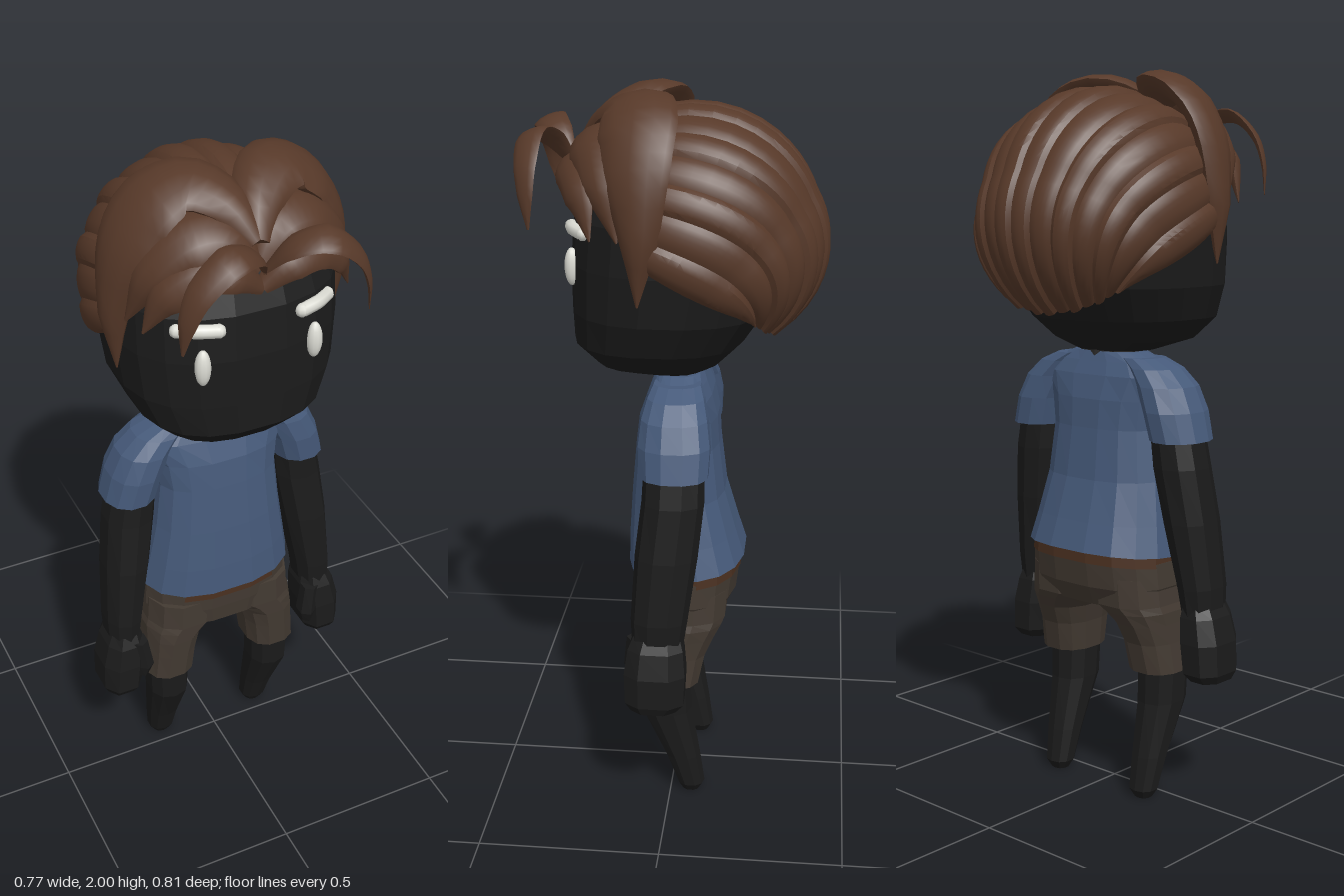
import * as THREE from 'three';
import { toCreasedNormals } from 'three/addons/utils/BufferGeometryUtils.js';

const V = (x, y, z) => new THREE.Vector3(x, y, z);
const flat = (color) => new THREE.MeshStandardMaterial({ color, flatShading: true });
const skin = flat(0x1b1b1b), neckSkin = flat(0x2b2a29), shirtMat = flat(0x465a7a);
const shortsMat = flat(0x433a32), beltMat = flat(0x4a3020);
const hairMat = new THREE.MeshStandardMaterial({ color: 0x573929, side: THREE.DoubleSide });
const eyeMat = new THREE.MeshStandardMaterial({ color: 0xdcdcd4 });

// Skin a list of rings (equal point counts) and close both ends
function skinRings(rings) {
  const n = rings[0].length, pos = [], idx = [];
  rings.forEach((r) => r.forEach((p) => pos.push(p.x, p.y, p.z)));
  for (let i = 0; i < rings.length - 1; i++) {
    for (let j = 0; j < n; j++) {
      const k = (j + 1) % n, a = i * n + j, d = i * n + k;
      idx.push(a, a + n, d + n, a, d + n, d);
    }
  }
  [0, rings.length - 1].forEach((r, end) => {
    const c = rings[r].reduce((s, p) => s.add(p), V(0, 0, 0)).divideScalar(n);
    const ci = pos.length / 3;
    pos.push(c.x, c.y, c.z);
    for (let j = 0; j < n; j++) {
      const a = r * n + j, b = r * n + (j + 1) % n;
      idx.push(ci, end ? b : a, end ? a : b);
    }
  });
  const g = new THREE.BufferGeometry();
  g.setAttribute('position', new THREE.Float32BufferAttribute(pos, 3));
  g.setIndex(idx);
  g.computeVertexNormals();
  return g;
}

// Upright loft; each row is [y, centreX, backZ, frontZ, halfWidth, tilt], listed bottom up
function loft(rows, sides, power = 2, s = 1) {
  const se = (c) => Math.sign(c) * Math.abs(c) ** (2 / power);
  return skinRings(rows.map(([y, cx, z0, z1, rx, tilt = 0]) =>
    Array.from({ length: sides }, (_, j) => {
      const a = ((j + 0.5) / sides) * Math.PI * 2;
      const dz = se(Math.sin(a)) * (z1 - z0) / 2;
      return V(s * cx + rx * se(Math.cos(a)), y + tilt * dz, (z0 + z1) / 2 + dz);
    })));
}

// Hair lock: lens section swept along [x, y, z, halfWidth] points, bulging away from a centre
function lock(points, centre, thick, s) {
  const curve = new THREE.CatmullRomCurve3(points.map((p) => V(s * p[0], p[1], p[2])));
  const mid = V(s * centre[0], centre[1], centre[2]), steps = 20, rings = [];
  for (let i = 0; i <= steps; i++) {
    const t = i / steps, f = t * (points.length - 1), k = Math.min(Math.floor(f), points.length - 2);
    const w = THREE.MathUtils.lerp(points[k][3], points[k + 1][3], f - k);
    const p = curve.getPoint(t), T = curve.getTangent(t);
    const N = p.clone().sub(mid);
    N.addScaledVector(T, -N.dot(T)).normalize();
    const W = T.clone().cross(N), h = thick * Math.min(1, w / 0.05);
    rings.push(Array.from({ length: 12 }, (_, j) => {
      const a = (j / 12) * Math.PI * 2, sn = Math.sin(a);
      return p.clone().addScaledVector(W, w * Math.cos(a)).addScaledVector(N, h * sn * Math.abs(sn) ** 0.4);
    }));
  }
  return toCreasedNormals(skinRings(rings), 0.7);
}

// Back hair: ridged strands running from the crown over the back to the nape
function backHair() {
  const strands = 14, sub = 6, rows = 22, pos = [], idx = [];
  const mid = V(0, 1.62, -0.05), radii = V(0.336, 0.338, 0.34);
  for (let k = 0; k < strands; k++) {
    // neighbouring strands stand proud by turns, mirrored about the parting
    const base = pos.length / 3, lift = (Math.min(k, strands - 1 - k) % 2) * -0.02;
    for (let i = 0; i <= rows + 1; i++) {
      const v = Math.min(i / rows, 1);
      for (let j = 0; j <= sub; j++) {
        const t = j / sub, u = ((k + t) / strands) * 2 - 1, a = u * 1.65;
        // directions at crown, halfway and nape, joined by a quadratic curve
        const d0 = V(Math.sin(a), Math.cos(a), 0.42).normalize();
        const dm = V(0.95 * Math.sin(u * 1.57), 0.35 - 0.7 * u * u, -0.94 + 0.84 * u * u).normalize();
        const d1 = V(0.9 * u, -0.74, -0.65).normalize();
        const d = d0.multiplyScalar((1 - v) * (1 - 2 * v)).addScaledVector(dm, 4 * v * (1 - v))
          .addScaledVector(d1, v * (2 * v - 1)).normalize();
        // fuller low at the back; the extra last row folds inward to close the nape
        const full = 1 + 0.06 * Math.sin(Math.PI * Math.max(0, (v - 0.5) / 0.6)) * (1 - u ** 4);
        const r = i > rows ? 0.75 : full * (0.965 + (0.042 + lift) * Math.sin(Math.PI * t) ** 0.5);
        d.multiply(radii).multiplyScalar(r).add(mid);
        pos.push(d.x, d.y, d.z);
        if (i <= rows && j < sub) {
          const p = base + i * (sub + 1) + j, q = p + sub + 1;
          idx.push(p, q + 1, p + 1, p, q, q + 1);
        }
      }
    }
  }
  const g = new THREE.BufferGeometry();
  g.setAttribute('position', new THREE.Float32BufferAttribute(pos, 3));
  g.setIndex(idx);
  return toCreasedNormals(g, 0.45);
}

export function createModel() {
  const model = new THREE.Group();
  const add = (name, geo, mat) => {
    const m = new THREE.Mesh(geo, mat);
    m.name = name;
    model.add(m);
    return m;
  };

  // Head and neck
  add('head', loft([
    [1.25, 0, -0.08, 0.1, 0.11], [1.28, 0, -0.13, 0.215, 0.19], [1.34, 0, -0.19, 0.272, 0.25],
    [1.43, 0, -0.25, 0.275, 0.29], [1.56, 0, -0.29, 0.275, 0.303], [1.68, 0, -0.3, 0.265, 0.3],
    [1.79, 0, -0.28, 0.225, 0.268], [1.87, 0, -0.22, 0.15, 0.19], [1.91, 0, -0.12, 0.06, 0.09],
  ], 20, 2.5), skin);
  add('neck', loft([[1.15, 0, -0.09, 0.06, 0.11], [1.29, 0, -0.08, 0.05, 0.1]], 10), neckSkin);

  // Shirt, waistband and hips
  add('shirt', loft([
    [0.695, 0, -0.2, 0.13, 0.232, -0.09], [0.78, 0, -0.175, 0.128, 0.215, -0.05], [0.9, 0, -0.142, 0.12, 0.193],
    [1.04, 0, -0.125, 0.108, 0.177], [1.12, 0, -0.12, 0.098, 0.188], [1.185, 0, -0.105, 0.075, 0.222],
    [1.222, 0, -0.09, 0.06, 0.185], [1.248, 0, -0.08, 0.05, 0.115],
  ], 16, 2.5), shirtMat);
  add('waistband', loft([[0.665, 0, -0.19, 0.12, 0.224, -0.09], [0.7, 0, -0.188, 0.12, 0.222, -0.09]], 16, 2.5), beltMat);
  add('hips', loft([
    [0.555, 0, -0.15, 0.11, 0.2], [0.61, 0, -0.178, 0.117, 0.228], [0.68, 0, -0.187, 0.12, 0.224],
  ], 16, 2.5), shortsMat);

  // Back hair
  add('backHair', backHair(), hairMat);

  for (const s of [1, -1]) {
    const side = s > 0 ? 'left' : 'right';
    const limb = (name, rows, sides, power, mat) => add(side + name, loft(rows, sides, power, s), mat);

    // Legs
    limb('ShortsLeg', [
      [0.365, 0.168, -0.082, 0.098, 0.076], [0.45, 0.16, -0.1, 0.105, 0.077],
      [0.505, 0.152, -0.125, 0.11, 0.083], [0.54, 0.133, -0.145, 0.112, 0.102],
      [0.56, 0.115, -0.155, 0.113, 0.114], [0.64, 0.112, -0.16, 0.112, 0.11],
    ], 12, 2.5, shortsMat);
    limb('Leg', [
      [0, 0.163, -0.083, -0.035, 0.024], [0.025, 0.163, -0.098, -0.02, 0.04], [0.12, 0.165, -0.085, 0.015, 0.048],
      [0.27, 0.168, -0.06, 0.085, 0.06], [0.42, 0.168, -0.055, 0.092, 0.066],
    ], 10, 2.3, skin);

    // Arms
    limb('Sleeve', [
      [1.022, 0.258, -0.112, 0.074, 0.075], [1.1, 0.237, -0.116, 0.08, 0.076],
      [1.165, 0.207, -0.106, 0.074, 0.076], [1.21, 0.165, -0.093, 0.062, 0.07], [1.235, 0.12, -0.08, 0.05, 0.055],
    ], 12, 2.2, shirtMat);
    limb('Arm', [
      [0.52, 0.31, -0.045, 0.09, 0.046], [0.62, 0.305, -0.06, 0.095, 0.055], [0.8, 0.282, -0.085, 0.085, 0.067],
      [0.95, 0.26, -0.1, 0.068, 0.071], [1.07, 0.242, -0.1, 0.062, 0.064],
    ], 10, 2.2, skin);
    limb('Hand', [
      [0.36, 0.33, -0.035, 0.095, 0.048], [0.385, 0.328, -0.058, 0.112, 0.062], [0.47, 0.322, -0.062, 0.115, 0.066],
      [0.54, 0.312, -0.055, 0.105, 0.058], [0.575, 0.308, -0.045, 0.09, 0.044],
    ], 8, 2.6, skin);
    limb('Thumb', [
      [0.42, 0.272, 0.055, 0.105, 0.018], [0.46, 0.268, 0.05, 0.12, 0.028], [0.55, 0.28, 0.05, 0.11, 0.026],
    ], 6, 2, skin);

    // Eyes: a lid bar wrapped on the face and an upright oval beneath
    const lid = new THREE.CatmullRomCurve3([V(s * 0.112, 1.652, 0.262), V(s * 0.16, 1.656, 0.25), V(s * 0.205, 1.652, 0.218)]);
    add(side + 'EyeLid', new THREE.TubeGeometry(lid, 8, 0.018, 8), eyeMat);
    for (const p of [lid.points[0], lid.points[2]]) {
      add(side + 'EyeLidEnd', new THREE.SphereGeometry(0.018, 8, 6), eyeMat).position.copy(p);
    }
    const eye = add(side + 'Eye', new THREE.SphereGeometry(1, 12, 10), eyeMat);
    eye.scale.set(0.021, 0.05, 0.02);
    eye.position.set(s * 0.153, 1.555, 0.257);

    // Swept crown lock ending in a pointed sideburn
    add(side + 'CrownLock', lock([
      [0, 1.85, 0.235, 0.03], [0.045, 1.93, 0.155, 0.07], [0.12, 1.96, 0.09, 0.095], [0.21, 1.918, 0.075, 0.105],
      [0.277, 1.81, 0.075, 0.095], [0.302, 1.66, 0.065, 0.055], [0.303, 1.49, 0.07, 0.003],
    ], [0.1, 1.65, 0], 0.036, s), hairMat);
    // Middle and lower fringe
    add(side + 'MiddleFringe', lock([
      [0, 1.79, 0.245, 0.03], [0.07, 1.87, 0.21, 0.07], [0.16, 1.87, 0.19, 0.075],
      [0.24, 1.795, 0.165, 0.065], [0.295, 1.65, 0.12, 0.003],
    ], [0.12, 1.65, 0.06], 0.03, s), hairMat);
    add(side + 'LowerFringe', lock([
      [0, 1.745, 0.262, 0.02], [0.07, 1.8, 0.268, 0.05], [0.15, 1.81, 0.25, 0.058],
      [0.23, 1.755, 0.22, 0.05], [0.28, 1.65, 0.19, 0.003],
    ], [0.12, 1.65, 0.1], 0.025, s), hairMat);
    // Loose curl standing off the forehead
    add(side + 'FrontCurl', lock([
      [0, 1.79, 0.268, 0.012], [0.05, 1.868, 0.318, 0.038], [0.125, 1.89, 0.355, 0.046],
      [0.205, 1.83, 0.36, 0.038], [0.238, 1.755, 0.357, 0.026], [0.248, 1.67, 0.35, 0.004],
    ], [0.11, 1.72, 0.28], 0.014, s), hairMat);
  }
  return model;
}
